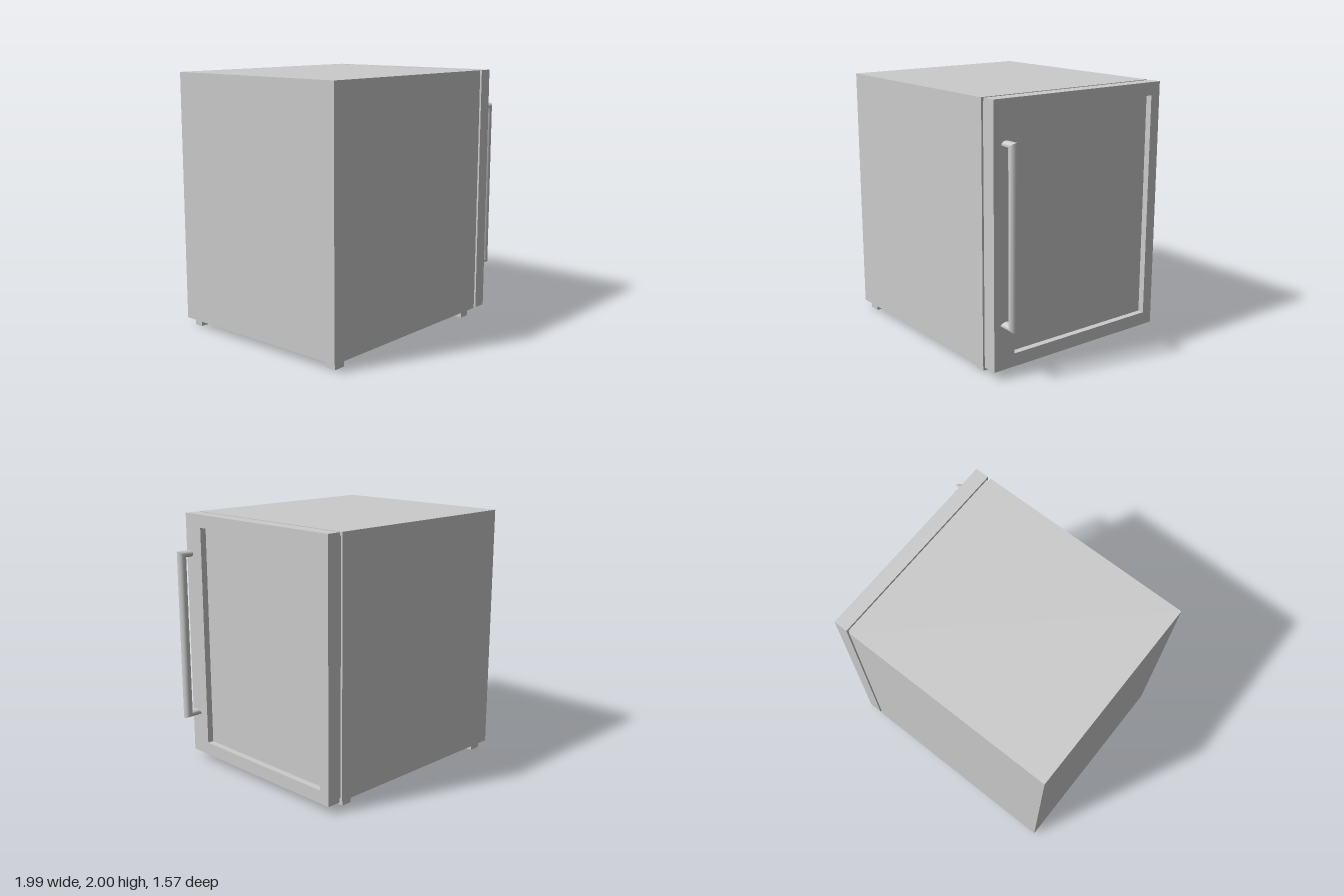
import * as THREE from 'three';
import { toCreasedNormals } from 'three/addons/utils/BufferGeometryUtils.js';

const grey = new THREE.MeshStandardMaterial({ color: 0xcccccc });

export function createModel() {
  const model = new THREE.Group();
  model.name = 'miniFridge';

  const add = (name, geometry) => {
    const mesh = new THREE.Mesh(geometry, grey);
    mesh.name = name;
    model.add(mesh);
  };
  // Box given by its limits on each axis
  const box = (name, [x0, x1], [y0, y1], [z0, z1]) => {
    const g = new THREE.BoxGeometry(x1 - x0, y1 - y0, z1 - z0);
    add(name, g.translate((x0 + x1) / 2, (y0 + y1) / 2, (z0 + z1) / 2));
  };

  // Cabinet and the slightly inset door seal
  box('cabinet', [-1, 0.71], [0.06, 2], [-0.785, 0.785]);
  box('doorSeal', [0.71, 0.735], [0.085, 1.975], [-0.77, 0.77]);

  // Door frame on the +x side, with an opening for the recessed panel
  const rectangle = (path, x0, x1, y0, y1) =>
    path.moveTo(x0, y0).lineTo(x1, y0).lineTo(x1, y1).lineTo(x0, y1).closePath();
  const frame = new THREE.Shape();
  rectangle(frame, -0.785, 0.785, 0.06, 2);
  const opening = new THREE.Path();
  rectangle(opening, -0.605, 0.7, 0.16, 1.9);
  frame.holes.push(opening);
  const door = new THREE.ExtrudeGeometry(frame, { depth: 0.11, bevelEnabled: false });
  add('doorFrame', door.rotateY(Math.PI / 2).translate(0.735, 0, 0));
  box('doorPanel', [0.735, 0.795], [0.16, 1.9], [-0.7, 0.605]);

  // Feet
  for (const x of [[-0.955, -0.862], [0.58, 0.665]])
    for (const z of [[-0.745, -0.672], [0.66, 0.75]]) box('foot', x, [0, 0.06], z);

  add('handle', handleGeometry());
  return model;
}

// Round bar with mitred corners; its lower end is cut at a slant
function handleGeometry() {
  const sides = 20;
  // Each section gives x and y as centre plus a multiple of the outward offset c
  const sections = [
    { x: 0.875, dx: 0, y: 1.698, dy: 0.026 },
    { x: 0.958, dx: 0.033, y: 1.698, dy: 0.026 },
    { x: 0.958, dx: 0.033, y: 0.411, dy: -0.026 },
    { x: 0.86, dx: -0.015, y: 0.411, dy: -0.026 },
  ];
  const positions = [];
  const index = [];
  for (const s of sections) {
    for (let i = 0; i < sides; i++) {
      const a = (i / sides) * Math.PI * 2;
      const c = Math.cos(a);
      positions.push(s.x + s.dx * c, s.y + s.dy * c, 0.703 + 0.038 * Math.sin(a));
    }
  }
  for (let r = 0; r < sections.length - 1; r++) {
    for (let i = 0; i < sides; i++) {
      const j = (i + 1) % sides;
      const a = r * sides + i, b = r * sides + j;
      index.push(a, b, b + sides, a, b + sides, a + sides);
    }
  }
  // End caps
  const last = (sections.length - 1) * sides;
  for (let i = 1; i < sides - 1; i++) {
    index.push(0, i + 1, i, last, last + i, last + i + 1);
  }
  const g = new THREE.BufferGeometry();
  g.setAttribute('position', new THREE.Float32BufferAttribute(positions, 3));
  g.setIndex(index);
  return toCreasedNormals(g, 0.6);
}
